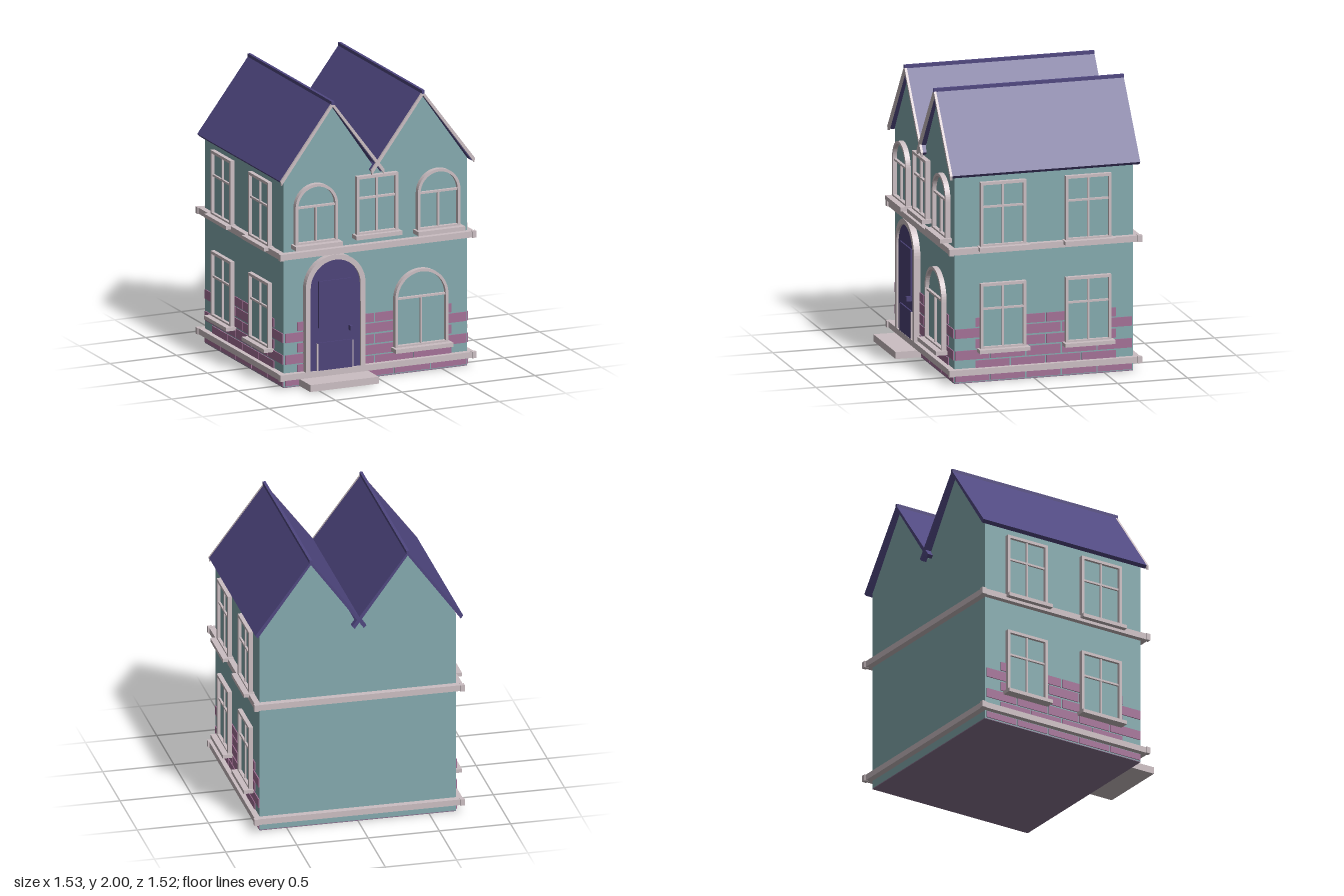
import * as THREE from 'three';

export function createModel() {
  const house = new THREE.Group();
  house.name = 'house';
  const paint = (name, color) => {
    const m = new THREE.MeshStandardMaterial({ color });
    m.name = name;
    return m;
  };
  const wall = paint('teal wall', 0x84aaae);
  const trim = paint('pale trim', 0xcbbec2);
  const brick = paint('mauve brick', 0xa37096);
  const roofing = paint('violet roof', 0x4f4780);
  const doorPaint = paint('violet door', 0x4c4278);
  const floorPaint = paint('floor', 0x8a7490);

  const W = 0.69, FRONT = 0.57, BACK = -0.705, RIDGE = 0.34;

  const add = (parent, name, geometry, material) => {
    const mesh = new THREE.Mesh(geometry, material);
    mesh.name = name;
    parent.add(mesh);
    return mesh;
  };
  // Box given by its lower and upper corner
  const box = (parent, name, material, x0, x1, y0, y1, z0, z1) => {
    const mesh = add(parent, name, new THREE.BoxGeometry(x1 - x0, y1 - y0, z1 - z0), material);
    mesh.position.set((x0 + x1) / 2, (y0 + y1) / 2, (z0 + z1) / 2);
    return mesh;
  };
  const extrude = (shape, z0, z1) => new THREE.ExtrudeGeometry(shape,
    { depth: z1 - z0, bevelEnabled: false, curveSegments: 16 }).translate(0, 0, z0);
  const polygon = pts => new THREE.Shape(pts.map(p => new THREE.Vector2(...p)));
  // Rectangle or round-headed outline, centred on x = 0
  const opening = (half, y0, y1, arched, Type = THREE.Shape) => {
    const s = new Type();
    s.moveTo(-half, y0);
    s.lineTo(half, y0);
    if (arched) {
      s.lineTo(half, y1 - half);
      s.absarc(0, y1 - half, half, 0, Math.PI, false);
    } else {
      s.lineTo(half, y1);
      s.lineTo(-half, y1);
    }
    s.closePath();
    return s;
  };

  // Body with twin gables
  box(house, 'floor', floorPaint, -W, W, 0, 0.006, BACK, FRONT);
  add(house, 'walls', extrude(polygon([
    [-W, 0.006], [W, 0.006], [W, 1.47], [RIDGE, 1.965], [0, 1.47], [-RIDGE, 1.965], [-W, 1.47],
  ]), BACK, FRONT), wall);

  // Twin roofs with ridge caps and front verges
  const chevron = polygon([
    [-0.39, 1.475], [-0.372, 1.455], [0, 1.965], [0.372, 1.455], [0.39, 1.475], [0, 1.99],
  ]);
  const verge = polygon([
    [-0.39, 1.475], [-0.385, 1.445], [0, 1.963], [0.385, 1.445], [0.39, 1.475], [0, 1.992],
  ]);
  for (const side of [-1, 1]) {
    const roof = new THREE.Group();
    roof.name = side < 0 ? 'rightRoof' : 'leftRoof';
    roof.position.x = side * RIDGE;
    add(roof, 'roofSlopes', extrude(chevron, -0.745, 0.595), roofing);
    add(roof, 'verge', extrude(verge, 0.595, 0.612), trim);
    box(roof, 'ridgeCap', roofing, -0.01, 0.01, 1.975, 2, -0.745, 0.613);
    house.add(roof);
  }

  // Horizontal bands with corner blocks
  for (const [name, y0, y1] of [['baseBand', 0.062, 0.104], ['floorBand', 0.915, 0.958]]) {
    box(house, name, trim, -0.73, 0.73, y0, y1, -0.75, 0.612);
    for (const x of [-0.722, 0.722]) for (const z of [-0.742, 0.604])
      box(house, name + 'Corner', trim, x - 0.016, x + 0.016, y0 - 0.002, y1 + 0.002, z - 0.016, z + 0.016);
  }

  // Bricks: alternating courses, four short of the corners or five full width
  const courses = [[0.012, 0.056], [0.104, 0.155], [0.165, 0.23], [0.242, 0.305], [0.318, 0.383], [0.393, 0.455]];
  const brickWall = (name, lo, hi, inset0, inset1) => {
    const g = new THREE.Group();
    g.name = name;
    courses.forEach(([y0, y1], row) => {
      const short = row % 2 === 1;
      const a = short ? lo + inset0 : lo, b = short ? hi - inset1 : hi, n = short ? 4 : 5;
      const step = (b - a) / n;
      for (let i = 0; i < n; i++)
        box(g, 'brick', brick, a + i * step + 0.005, a + (i + 1) * step - 0.005, y0, y1, 0, 0.007);
    });
    house.add(g);
    return g;
  };
  brickWall('frontBricks', -0.685, 0.685, 0.09, 0.11).position.z = FRONT;
  const leftBricks = brickWall('leftBricks', -0.57, 0.7, 0.145, 0.115);
  leftBricks.position.x = W;
  leftBricks.rotation.y = Math.PI / 2;
  const rightBricks = brickWall('rightBricks', -0.7, 0.57, 0.115, 0.145);
  rightBricks.position.x = -W;
  rightBricks.rotation.y = -Math.PI / 2;

  // Window facing +z, with pane, frame, glazing bars and sill
  const window_ = (name, half, y0, y1, bar, arched, sillDepth, sillDrop, depth) => {
    const g = new THREE.Group();
    g.name = name;
    const t = 0.02;
    add(g, 'pane', extrude(opening(half - 0.005, y0, y1 - 0.005, arched), 0.008, 0.014), wall);
    const frame = opening(half, y0, y1, arched);
    frame.holes.push(opening(half - t, y0 + t * 0.7, y1 - t, arched, THREE.Path));
    add(g, 'frame', extrude(frame, 0.006, depth), trim);
    box(g, 'crossBar', trim, -half + t, half - t, bar - 0.007, bar + 0.007, 0.013, depth - 0.008);
    box(g, 'uprightBar', trim, -0.007, 0.007, y0, arched ? bar : y1 - t, 0.013, depth - 0.01);
    box(g, 'sill', trim, -half - 0.017, half + 0.017, y0 - sillDrop, y0 + 0.002, 0, sillDepth);
    house.add(g);
    return g;
  };
  const frontWindows = [
    ['upperRightWindow', -0.46, 0.16, 1.01, 1.43, 1.27, true, 0.086],
    ['upperLeftWindow', 0.46, 0.16, 1.01, 1.43, 1.27, true, 0.086],
    ['upperMiddleWindow', -0.003, 0.155, 1.03, 1.443, 1.285, false, 0.072],
    ['lowerLeftWindow', 0.33, 0.2, 0.197, 0.738, 0.54, true, 0.086],
  ];
  for (const [name, x, half, y0, y1, bar, arched, sill] of frontWindows)
    window_(name, half, y0, y1, bar, arched, sill, 0.027, 0.042).position.set(x, 0, FRONT);
  for (const side of [-1, 1]) for (const z of [0.23, -0.378])
    for (const [y0, y1, bar] of [[0.24, 0.7, 0.52], [0.96, 1.413, 1.237]]) {
      const w = window_('sideWindow', 0.163, y0, y1, bar, false, 0.076, 0.024, 0.036);
      w.position.set(side * W, 0, z);
      w.rotation.y = side * Math.PI / 2;
    }

  // Arched front door
  const door = new THREE.Group();
  door.name = 'frontDoor';
  door.position.set(-0.32, 0, FRONT);
  add(door, 'doorLeaf', extrude(opening(0.2, 0.104, 0.885, true), 0.005, 0.03), doorPaint);
  const surround = polygon([[-0.225, 0.104], [-0.19, 0.104], [-0.19, 0.69]]);
  surround.absarc(0, 0.69, 0.188, Math.PI, 0, true);
  surround.lineTo(0.19, 0.104);
  surround.lineTo(0.225, 0.104);
  surround.lineTo(0.225, 0.69);
  surround.absarc(0, 0.69, 0.225, 0, Math.PI, false);
  add(door, 'doorSurround', extrude(surround, 0, 0.045), trim);
  box(door, 'upperPanel', doorPaint, -0.125, 0.125, 0.405, 0.735, 0.03, 0.04);
  box(door, 'lowerPanel', doorPaint, -0.13, 0.13, 0.104, 0.3, 0.03, 0.04);
  for (const x of [-0.133, 0.133])
    box(door, 'panelEdge', trim, x - 0.004, x + 0.004, 0.104, 0.295, 0.03, 0.041);
  box(door, 'handle', doorPaint, 0.102, 0.12, 0.368, 0.402, 0.03, 0.068);
  house.add(door);

  // Doorstep
  box(house, 'doorstep', trim, -0.577, -0.062, 0.006, 0.055, FRONT, 0.757);
  return house;
}
